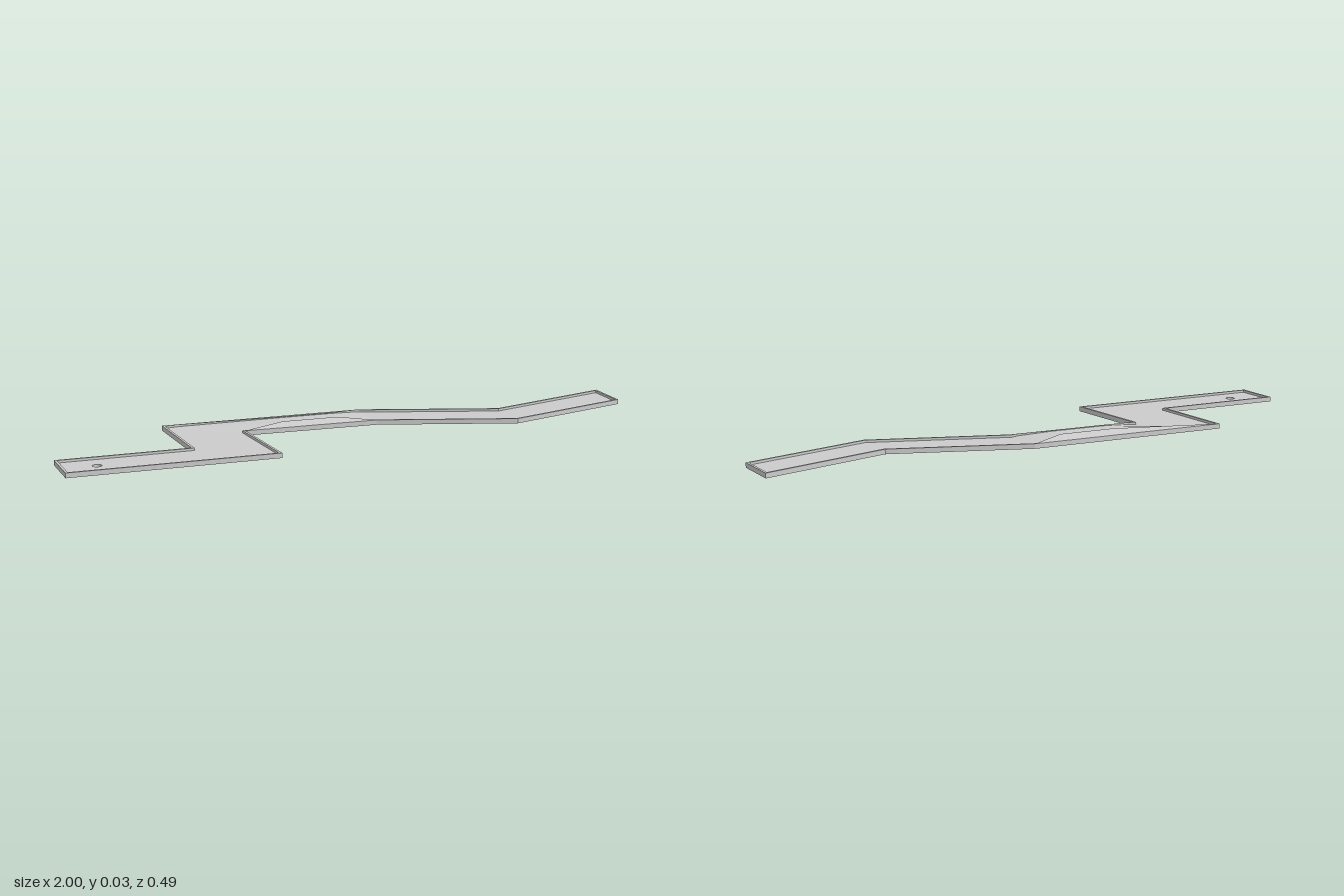
import * as THREE from 'three';

const FLOOR = 0.008, RIM = 0.016, RIM_WIDTH = 0.008;

// Plan outline as (x, z), running around the whole walkway
const OUTLINE = [
  [-1, 0.08], [-0.565, 0.073], [-0.575, -0.243], [0.11, -0.243], [0.555, -0.098], [1, -0.243],
  [1, -0.077], [0.555, 0.066], [0.11, -0.077], [-0.34, -0.083], [-0.32, 0.236], [-1, 0.244],
].map(([x, z]) => new THREE.Vector2(x, -z));

// Move every edge inward by d and rejoin the corners (clockwise outline)
function inset(points, d) {
  const n = points.length;
  return points.map((p, i) => {
    const a = p.clone().sub(points[(i + n - 1) % n]).normalize();
    const b = points[(i + 1) % n].clone().sub(p).normalize();
    const na = new THREE.Vector2(a.y, -a.x), nb = new THREE.Vector2(b.y, -b.x);
    const m = na.clone().add(nb);
    return p.clone().addScaledVector(m, d / (1 + na.dot(nb)));
  });
}

function plate(name, shape, depth, material) {
  const geo = new THREE.ExtrudeGeometry(shape, { depth, bevelEnabled: false, curveSegments: 10 });
  geo.rotateX(-Math.PI / 2);
  const mesh = new THREE.Mesh(geo, material);
  mesh.name = name;
  return mesh;
}

// Flat-faced surface through rows of points, listed back to front, left to right
function surface(rows) {
  const pos = [];
  for (let i = 0; i < rows.length - 1; i++) {
    for (let j = 0; j < rows[i].length - 1; j++) {
      const a = rows[i][j], b = rows[i + 1][j], c = rows[i + 1][j + 1], d = rows[i][j + 1];
      pos.push(...a, ...b, ...c, ...a, ...c, ...d);
    }
  }
  const geo = new THREE.BufferGeometry();
  geo.setAttribute('position', new THREE.Float32BufferAttribute(pos, 3));
  geo.computeVertexNormals();
  return geo;
}

export function createModel() {
  const group = new THREE.Group();
  group.name = 'walkway';
  const material = new THREE.MeshStandardMaterial({ color: 0xcccccc, side: THREE.DoubleSide, flatShading: true });

  // Floor with a round hole near its end
  const floor = new THREE.Shape(OUTLINE);
  const hole = new THREE.Path();
  hole.absarc(-0.885, -0.16, 0.015, 0, Math.PI * 2, true);
  floor.holes.push(hole);
  group.add(plate('floor', floor, FLOOR, material));

  // Low rim around the edge
  const rim = new THREE.Shape(OUTLINE);
  rim.holes.push(new THREE.Path(inset(OUTLINE, RIM_WIDTH)));
  group.add(plate('rim', rim, RIM, material));

  // Narrow raised bridge: sloping sides, thin lips and a ramped path
  const TOP = 0.026, PATH = 0.023;
  const back = [[-0.575, -0.243], [-0.2, -0.19], [-0.01, -0.19], [0.11, -0.243]];
  const front = [[-0.34, -0.083], [-0.2, -0.125], [-0.01, -0.125], [0.11, -0.077]];
  const row = (points, low, high) => points.map(([x, z], i) => [x, i % 3 ? high : low, z]);
  const edge = (points, z) => points.map(([x]) => [x, RIM, z]);
  const bridge = new THREE.Mesh(surface([
    edge(back, -0.243),
    row(back, RIM, TOP),
    row(back, FLOOR, PATH),
    row(front, FLOOR, PATH),
    row(front, RIM, TOP),
    front.map(([x], i) => [x, RIM, i === 0 ? -0.083 : i === 3 ? -0.077 : -0.08]),
  ]), material);
  bridge.name = 'bridge';
  group.add(bridge);

  return group;
}
